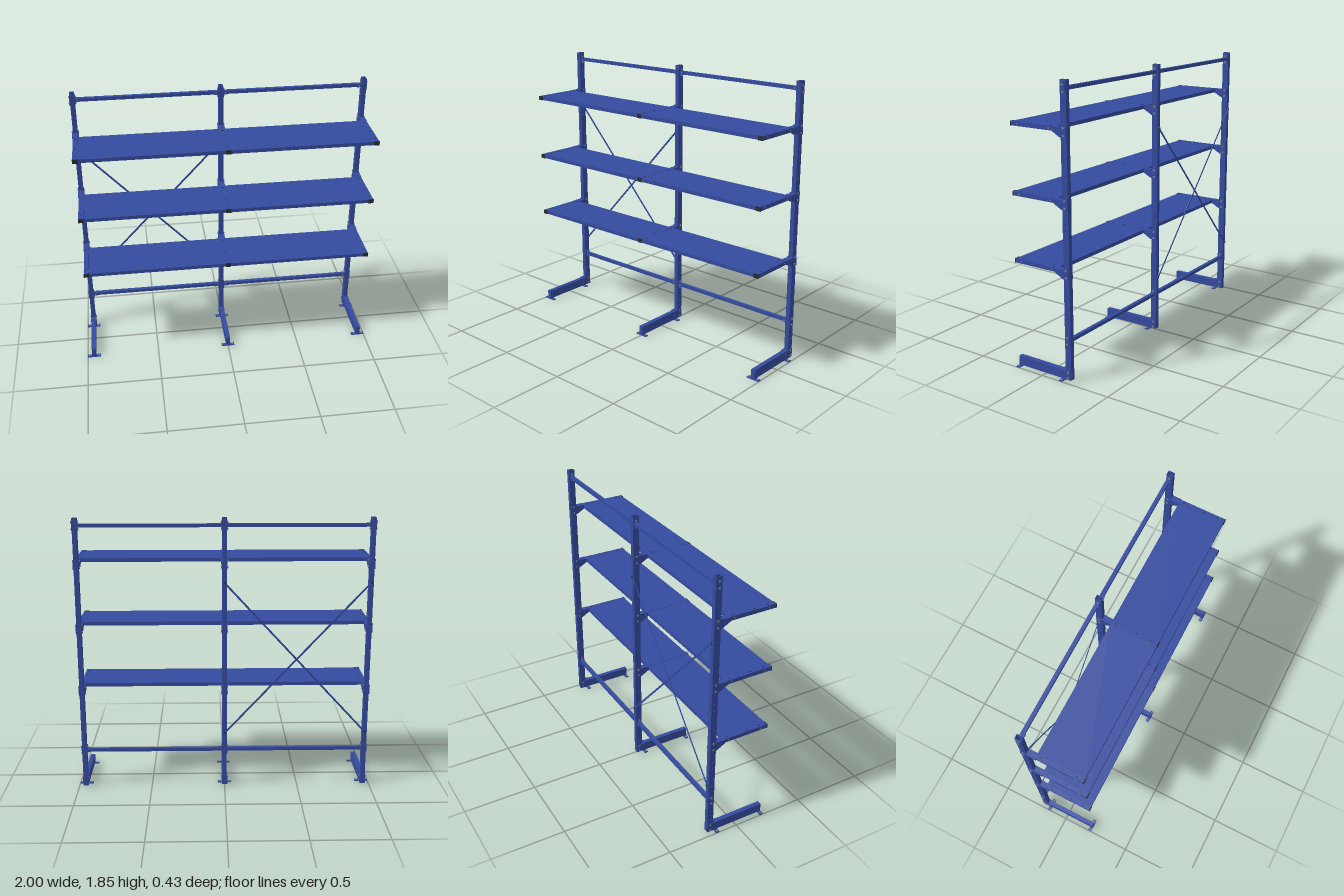
import * as THREE from 'three';

const mat = (name, color, side = THREE.FrontSide) => {
  const m = new THREE.MeshStandardMaterial({ color, side });
  m.name = name;
  return m;
};

export function createModel() {
  const blue = mat('blue paint', 0x344b9f);
  const grey = mat('bolt grey', 0x85878a);
  const dark = mat('dark cap', 0x2b2d30);

  const model = new THREE.Group();
  model.name = 'cantileverRack';

  const add = (parent, name, geo, material, x = 0, y = 0, z = 0) => {
    const mesh = new THREE.Mesh(geo, material);
    mesh.name = name;
    mesh.position.set(x, y, z);
    parent.add(mesh);
    return mesh;
  };
  const box = (parent, name, [x0, x1], [y0, y1], [z0, z1], material = blue) =>
    add(parent, name, new THREE.BoxGeometry(x1 - x0, y1 - y0, z1 - z0), material,
      (x0 + x1) / 2, (y0 + y1) / 2, (z0 + z1) / 2);

  // Hexagonal bolt head, lying along x, y or z
  const bolt = (parent, x, y, z, axis = 'x', material = grey, r = 0.007, h = 0.006) => {
    const geo = new THREE.CylinderGeometry(r, r, h, 6);
    if (axis === 'x') geo.rotateZ(Math.PI / 2);
    if (axis === 'z') geo.rotateX(Math.PI / 2);
    add(parent, 'bolt', geo, material, x, y, z);
  };

  const columnX = [-0.955, 0, 0.955];
  const HW = 0.015, ZB = -0.206, ZF = -0.163, ZC = (ZB + ZF) / 2;
  const BOTTOM = 0.01, TOP = 1.845, WALL = 0.003;
  const shelfY = [0.705, 1.132, 1.56];
  const beamY = [0.267, 1.797];

  // Pairs of holes at a regular pitch up the column
  const holeY = [];
  for (let k = -1; k <= 10; k++) {
    const y = 0.288 + 0.1424 * k;
    holeY.push(y, y - 0.0435);
  }

  // Punched side wall of a column, drawn in (z, y) and turned to face x
  const wallShape = new THREE.Shape();
  wallShape.moveTo(-ZF, BOTTOM).lineTo(-ZB, BOTTOM).lineTo(-ZB, TOP).lineTo(-ZF, TOP).closePath();
  for (const y of holeY) {
    const hole = new THREE.Path();
    hole.absarc(-ZC, y, 0.0055, 0, Math.PI * 2, true);
    wallShape.holes.push(hole);
  }
  const sideGeo = (shape, depth) => new THREE.ExtrudeGeometry(shape,
    { depth, bevelEnabled: false, curveSegments: 5 })
    .translate(0, 0, -depth / 2).rotateY(Math.PI / 2);
  const wallGeo = sideGeo(wallShape, WALL);

  // Gusset plate joining an arm to its column
  const gusset = new THREE.Shape([
    [0.1, -0.013], [0.16, -0.046], [0.204, -0.046], [0.204, 0.017],
    [0.16, 0.017], [0.145, 0.013], [0.1, 0.013],
  ].map(([z, y]) => new THREE.Vector2(z, y)));
  const gussetGeo = sideGeo(gusset, 0.004);

  for (const cx of columnX) {
    const upright = new THREE.Group();
    upright.name = 'upright';
    upright.position.x = cx;
    model.add(upright);

    // Hollow column
    for (const s of [-1, 1]) {
      add(upright, 'columnSide', wallGeo, blue, s * (HW - WALL / 2));
    }
    box(upright, 'columnFront', [-HW + WALL, HW - WALL], [BOTTOM, TOP], [ZF - WALL, ZF]);
    box(upright, 'columnBack', [-HW + WALL, HW - WALL], [BOTTOM, TOP], [ZB, ZB + WALL]);

    // Base spar with foot plates
    box(upright, 'baseSpar', [-0.015, 0.015], [0.008, 0.068], [ZF, 0.211]);
    for (const z of [-0.143, 0.2]) {
      box(upright, 'footPlate', [-0.045, 0.045], [0, 0.007], [z - 0.012, z + 0.012]);
      for (const s of [-1, 1]) bolt(upright, s * 0.033, 0.008, z, 'y', grey, 0.006, 0.004);
    }
    for (const s of [-1, 1]) {
      box(upright, 'basePlate', s > 0 ? [0.015, 0.019] : [-0.019, -0.015],
        [0.01, 0.07], [ZB + 0.002, -0.13]);
      for (const y of [0.022, 0.06]) bolt(upright, s * 0.02, y, ZC);
    }

    // Cantilever arms
    for (const y of shelfY) {
      const arm = new THREE.Group();
      arm.name = 'arm';
      arm.position.y = y;
      upright.add(arm);
      box(arm, 'armTube', [-0.016, 0.016], [-0.013, 0.013], [ZF, 0.212]);
      box(arm, 'armEndCap', [-0.018, 0.018], [-0.014, 0.014], [0.212, 0.217], dark);
      for (const z of [-0.075, 0.07, 0.165]) bolt(arm, 0, 0.0135, z, 'y', dark, 0.005, 0.003);
      for (const s of [-1, 1]) {
        add(arm, 'gusset', gussetGeo, blue, s * 0.018);
        for (const dy of [0.01, -0.034]) bolt(arm, s * 0.021, dy, ZC);
        for (const z of [-0.073, 0.166]) bolt(arm, s * 0.0165, 0, z, 'x', grey, 0.005, 0.003);
      }
    }

    // Beam brackets on the column sides
    for (const y of beamY) for (const s of [-1, 1]) {
      box(upright, 'beamBracket', s > 0 ? [0.015, 0.019] : [-0.019, -0.015],
        [y - 0.032, y + 0.032], [ZB + 0.005, ZF - 0.004]);
      for (const dy of [-0.021, 0.021]) bolt(upright, s * 0.021, y + dy, ZC);
      if (s * cx <= 0 || cx === 0) {
        box(upright, 'bracketTongue', s > 0 ? [0.019, 0.045] : [-0.045, -0.019],
          [y - 0.012, y + 0.012], [-0.176, -0.172]);
        bolt(upright, s * 0.032, y, -0.171, 'z', grey, 0.005, 0.004);
      }
    }
  }

  // Two bays of shelves and rear beams
  for (const [x0, x1] of [[-0.955, 0], [0, 0.955]]) {
    for (const y of shelfY) {
      box(model, 'shelf', [x0 + 0.017, x1 - 0.017], [y - 0.012, y + 0.012], [-0.105, 0.214]);
    }
    for (const y of beamY) {
      box(model, 'rearBeam', [x0 + 0.019, x1 - 0.019], [y - 0.011, y + 0.011], [-0.2, -0.176]);
    }
  }

  // Crossed flat braces behind one bay
  const dx = 0.955, dy = 1.037;
  const length = Math.hypot(dx, dy) + 0.02;
  for (const s of [-1, 1]) {
    const brace = add(model, 'crossBrace', new THREE.BoxGeometry(length, 0.012, 0.003), blue,
      -dx / 2, 0.908, s > 0 ? -0.2085 : -0.212);
    brace.rotation.z = s * Math.atan2(dy, dx);
    for (const x of [-dx, 0]) bolt(model, x, 0.908 + s * dy / 2, -0.212, 'z', dark, 0.008, 0.006);
  }

  return model;
}
